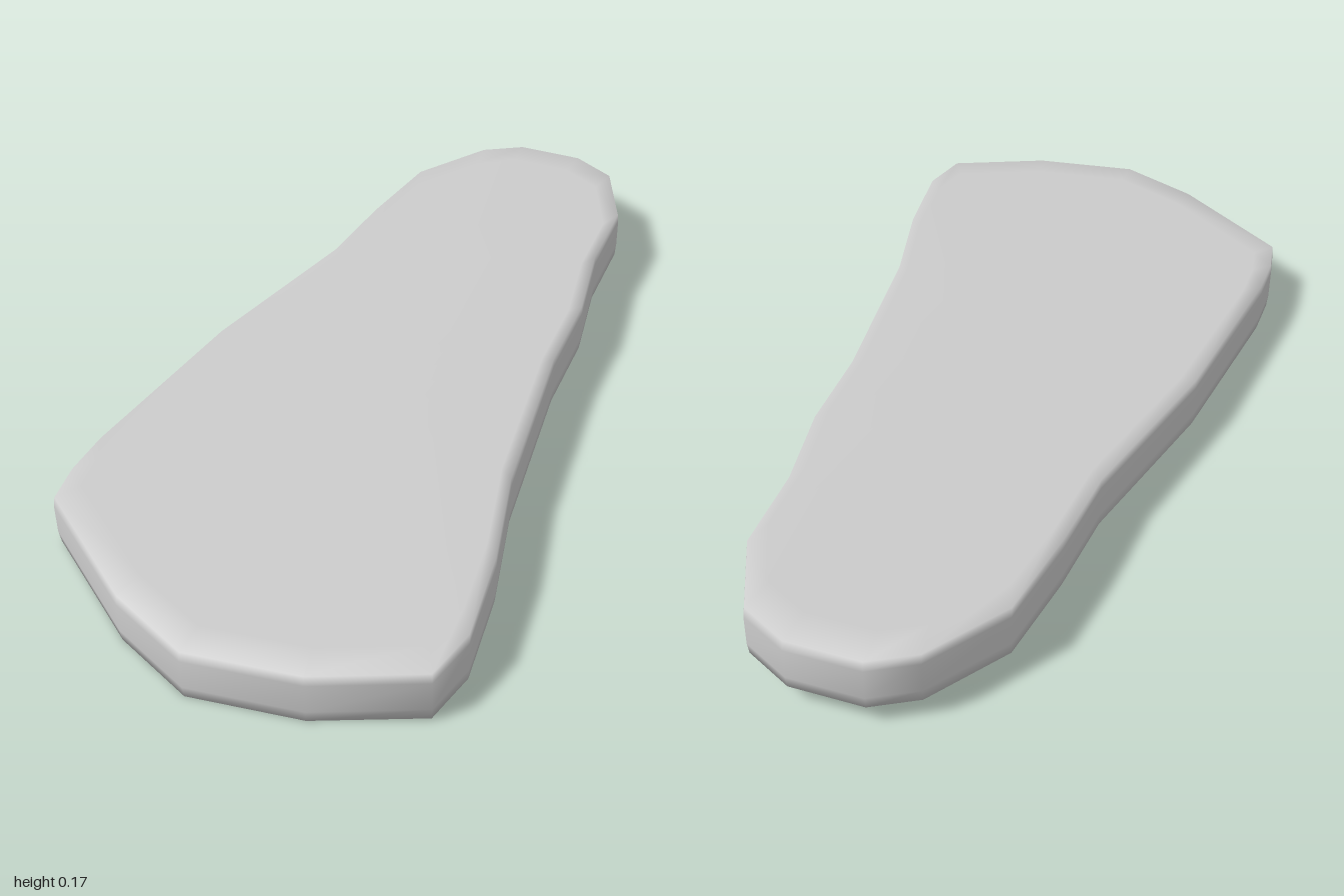
import * as THREE from 'three';

// Sole outline as [x, z], starting at the heel and running down the left side
const OUTLINE = [
  [0, -1], [0.11, -0.95], [0.2, -0.78], [0.22, -0.57], [0.27, -0.36], [0.29, -0.14],
  [0.33, 0.07], [0.37, 0.28], [0.44, 0.51], [0.48, 0.72], [0.46, 0.84], [0.25, 0.95],
  [0.01, 1], [-0.18, 0.93], [-0.46, 0.75], [-0.48, 0.66], [-0.485, 0.55], [-0.455, 0.1],
  [-0.38, -0.32], [-0.375, -0.53], [-0.355, -0.75], [-0.25, -0.93], [-0.16, -0.99],
];
const CENTRE = [-0.02, 0.05];

// Cross-section rings as [scale about the centre, height], bottom to top
const RINGS = [[0, 0], [0.93, 0], [0.995, 0.001], [1, 0.03], [1, 0.1], [0.995, 0.121], [0.92, 0.124], [0, 0.124]];

function createSole() {
  const positions = [];
  const indices = [];
  const n = OUTLINE.length;
  for (const [scale, height] of RINGS) {
    for (const [px, pz] of OUTLINE) {
      const x = CENTRE[0] + (px - CENTRE[0]) * scale;
      const z = CENTRE[1] + (pz - CENTRE[1]) * scale;
      // The whole slab rises gently towards the heel
      positions.push(x, height + 0.0235 * (1 - z), z);
    }
  }
  for (let k = 0; k < RINGS.length - 1; k++) {
    for (let j = 0; j < n; j++) {
      const a = k * n + j;
      const b = k * n + (j + 1) % n;
      if (RINGS[k][0] > 0) indices.push(b, a, a + n);
      if (RINGS[k + 1][0] > 0) indices.push(b, a + n, b + n);
    }
  }
  const geometry = new THREE.BufferGeometry();
  geometry.setAttribute('position', new THREE.Float32BufferAttribute(positions, 3));
  geometry.setIndex(indices);
  geometry.computeVertexNormals();
  return geometry;
}

export function createModel() {
  const group = new THREE.Group();
  const sole = new THREE.Mesh(createSole(), new THREE.MeshStandardMaterial({ color: 0xcccccc }));
  sole.name = 'sole';
  group.add(sole);
  return group;
}
